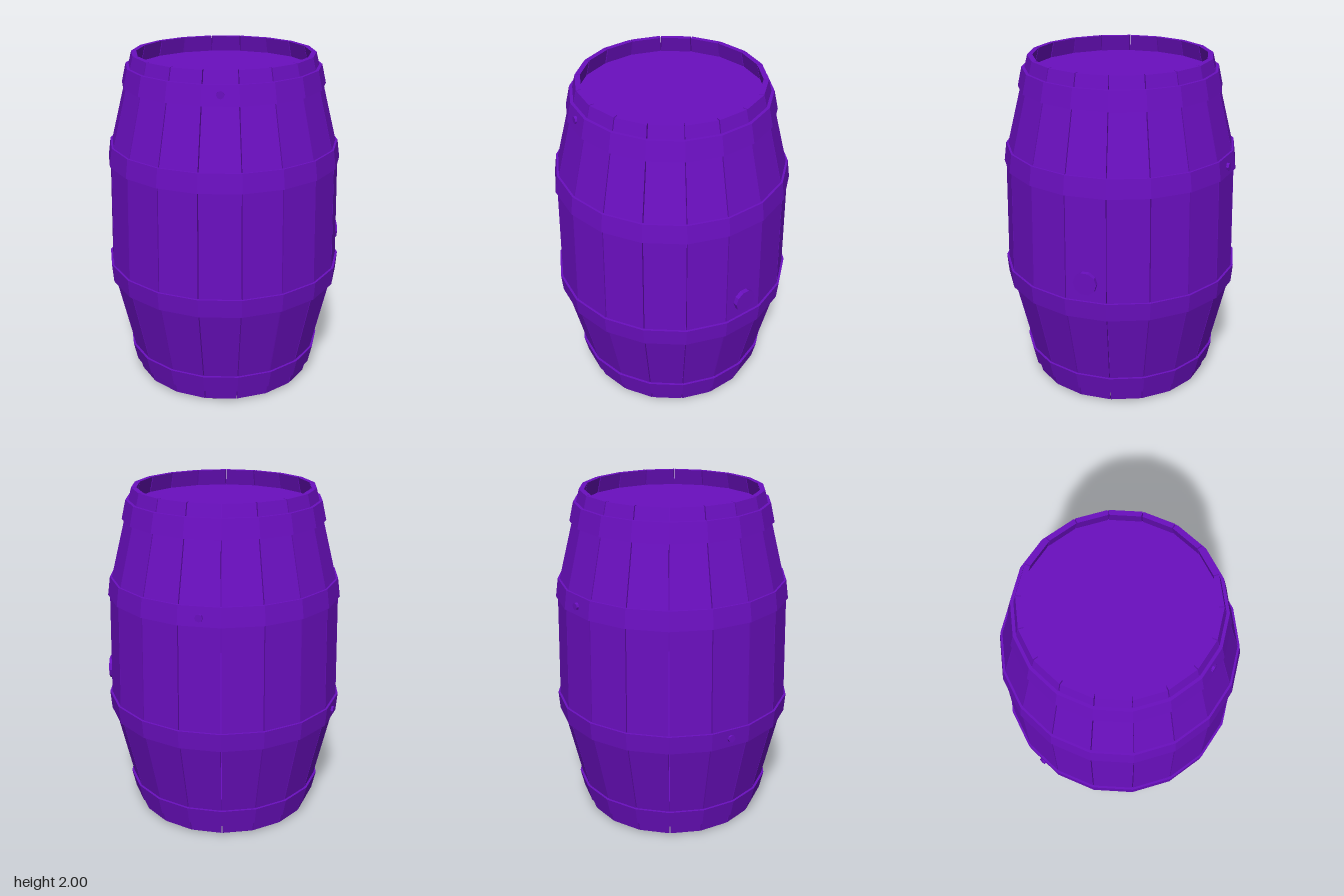
import * as THREE from 'three';

const SIDES = 18;
const STEP = (Math.PI * 2) / SIDES;
const HALF = STEP / 2;
const GAP = 0.003; // half the slit between neighbouring staves
const THICK = 0.03;

const material = new THREE.MeshStandardMaterial({ color: 0x6a0fbf });
material.flatShading = true;

// Outer corner radius of the barrel at each height
const PROFILE = [[0, 0.522], [0.012, 0.54], [0.7, 0.697], [1.42, 0.681], [2, 0.535]];

function radiusAt(y) {
  let i = 1;
  while (i < PROFILE.length - 1 && PROFILE[i][0] < y) i++;
  const [y0, r0] = PROFILE[i - 1];
  const [y1, r1] = PROFILE[i];
  return r0 + ((r1 - r0) * (y - y0)) / (y1 - y0);
}

// One plank facing +x, lofted through four-cornered sections
function staveGeometry() {
  const positions = [];
  const index = [];
  PROFILE.forEach(([y, outer], i) => {
    const inner = (i === 0 ? PROFILE[1][1] : outer) - THICK;
    for (const [r, side] of [[outer, 1], [outer, -1], [inner, -1], [inner, 1]]) {
      positions.push(r * Math.cos(HALF), y, side * (r * Math.sin(HALF) - GAP));
    }
    if (i === 0) return;
    for (let k = 0; k < 4; k++) {
      const a = (i - 1) * 4 + k;
      const b = (i - 1) * 4 + ((k + 1) % 4);
      index.push(a, b, b + 4, a, b + 4, a + 4);
    }
  });
  const t = (PROFILE.length - 1) * 4;
  index.push(0, 2, 1, 0, 3, 2, t, t + 1, t + 2, t, t + 2, t + 3);
  const geometry = new THREE.BufferGeometry();
  geometry.setAttribute('position', new THREE.Float32BufferAttribute(positions, 3));
  geometry.setIndex(index);
  const flat = geometry.toNonIndexed();
  flat.computeVertexNormals();
  return flat;
}

// Metal band with a closed section, corners aligned with the slits
function hoopGeometry(y0, r0, y1, r1) {
  const in0 = radiusAt(y0) - 0.004;
  const in1 = radiusAt(y1) - 0.004;
  const section = [[r0, y0], [r1, y1], [in1, y1], [in0, y0], [r0, y0]];
  const points = section.map(([r, y]) => new THREE.Vector2(r, y));
  return new THREE.LatheGeometry(points, SIDES, Math.PI / 2, Math.PI * 2);
}

export function createModel() {
  const barrel = new THREE.Group();
  barrel.name = 'barrel';

  const add = (name, geometry) => {
    const mesh = new THREE.Mesh(geometry, material);
    mesh.name = name;
    barrel.add(mesh);
    return mesh;
  };

  // Short cylinder pointing outwards; angle runs from +x towards +z
  const addPeg = (name, angle, y, reach, radius, depth, sides) => {
    const geometry = new THREE.CylinderGeometry(radius, radius, depth, sides);
    geometry.rotateZ(-Math.PI / 2);
    geometry.translate(reach - depth / 2, 0, 0);
    const peg = add(name, geometry);
    peg.rotation.y = -angle;
    peg.position.y = y;
  };

  // Staves
  const stave = staveGeometry();
  for (let i = 0; i < SIDES; i++) {
    add('stave', stave).rotation.y = (i + 0.5) * STEP;
  }

  // Hoops
  add('bottomHoop', hoopGeometry(0.08, 0.57, 0.19, 0.595));
  add('lowerHoop', hoopGeometry(0.64, 0.7, 0.75, 0.709));
  add('upperHoop', hoopGeometry(1.37, 0.693, 1.48, 0.678));
  add('topHoop', hoopGeometry(1.82, 0.595, 1.93, 0.57));

  // Recessed end boards
  for (const [name, y] of [['topLid', 1.89], ['bottomLid', 0.11]]) {
    const lid = new THREE.CylinderGeometry(0.533, 0.533, 0.03, SIDES, 1, false, Math.PI / 2);
    add(name, lid).position.y = y;
  }

  // Hoop rivets
  addPeg('topHoopRivet', Math.PI / 2, 1.88, 0.583, 0.022, 0.03, 8);
  addPeg('upperHoopRivet', -Math.PI / 2, 1.42, 0.69, 0.022, 0.03, 8);
  addPeg('lowerHoopRivet', Math.PI + HALF, 0.695, 0.708, 0.022, 0.03, 8);

  // Bung in the side
  addPeg('bung', -HALF, 0.865, 0.708, 0.068, 0.05, 10);

  return barrel;
}
